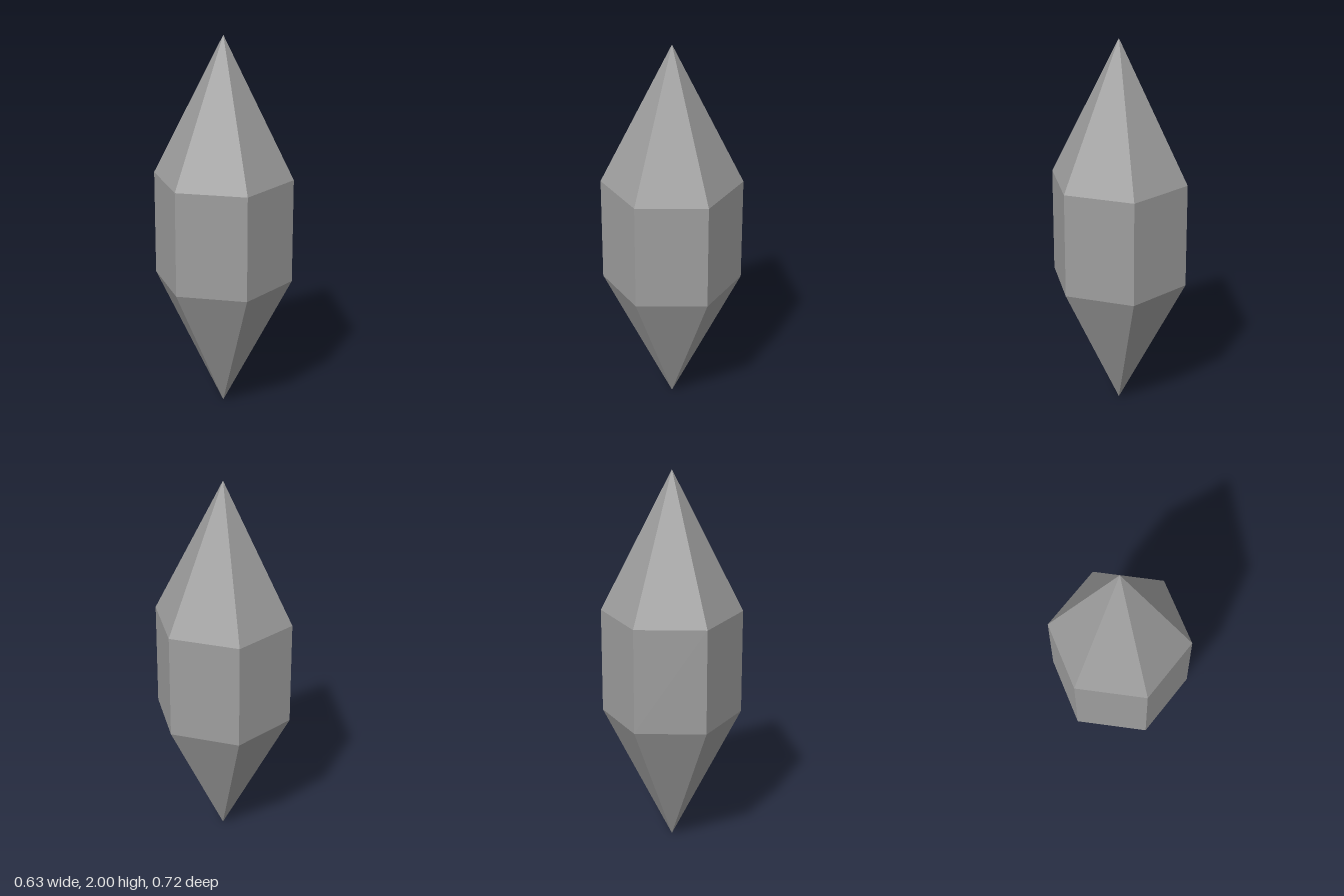
import * as THREE from 'three';

const SIDES = 6;
const RADIUS = 0.362;
const TIP_HEIGHT = 0.725;
const BODY_HEIGHT = 2 - 2 * TIP_HEIGHT;

export function createModel() {
  const crystal = new THREE.Group();
  crystal.name = 'crystal';
  const material = new THREE.MeshStandardMaterial({ color: 0x9e9e9e, flatShading: true });

  // An open six-sided section standing on height y
  const addSection = (name, topRadius, bottomRadius, height, y) => {
    const geometry = new THREE.CylinderGeometry(topRadius, bottomRadius, height, SIDES, 1, true);
    const mesh = new THREE.Mesh(geometry, material);
    mesh.name = name;
    mesh.position.y = y + height / 2;
    crystal.add(mesh);
  };

  // Pointed base, straight prism and pointed top meet edge to edge
  addSection('lowerPoint', RADIUS, 0, TIP_HEIGHT, 0);
  addSection('prismBody', RADIUS, RADIUS, BODY_HEIGHT, TIP_HEIGHT);
  addSection('upperPoint', 0, RADIUS, TIP_HEIGHT, TIP_HEIGHT + BODY_HEIGHT);

  return crystal;
}
